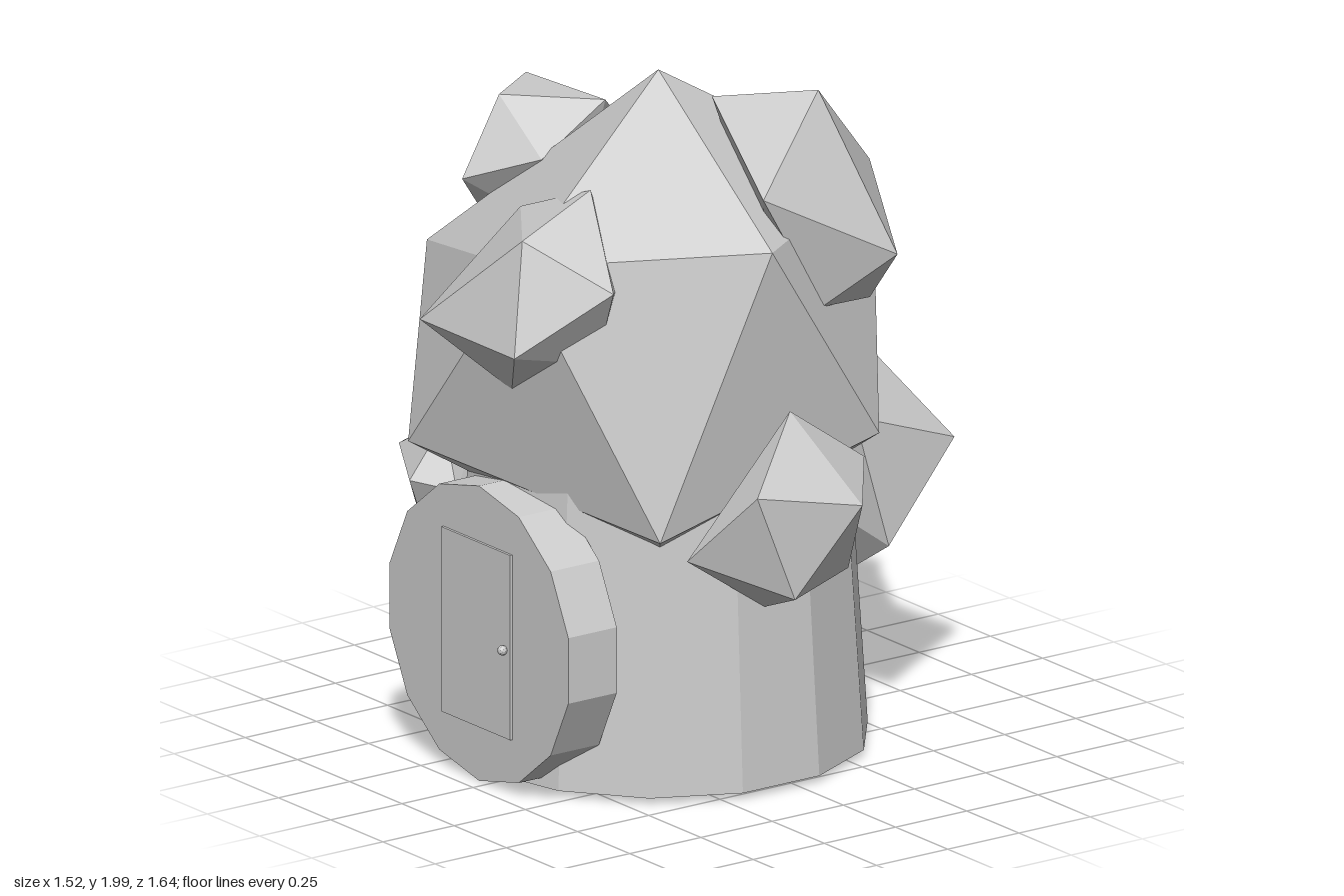
import * as THREE from 'three';
import { ConvexGeometry } from 'three/addons/geometries/ConvexGeometry.js';

const grey = new THREE.MeshStandardMaterial({ color: 0xcccccc, flatShading: true });

export function createModel() {
  const model = new THREE.Group();
  const add = (name, geometry, x = 0, y = 0, z = 0) => {
    const mesh = new THREE.Mesh(geometry, grey);
    mesh.name = name;
    mesh.position.set(x, y, z);
    model.add(mesh);
    return mesh;
  };
  // Irregular faceted clump of leaves spanned by a few corner points
  const clump = (name, corners) =>
    add(name, new ConvexGeometry(corners.map((c) => new THREE.Vector3(...c))));

  // Tapered fourteen-sided trunk
  add('trunk', new THREE.CylinderGeometry(0.527, 0.603, 1.18, 14), -0.047, 0.61, 0.065);

  // Round door frame with a thin door panel and knob
  const frame = add('doorFrame', new THREE.CylinderGeometry(0.439, 0.439, 0.17, 14), -0.04, 0.44, 0.615);
  frame.rotation.x = Math.PI / 2;
  add('doorPanel', new THREE.BoxGeometry(0.33, 0.55, 0.1), -0.045, 0.44, 0.658);
  add('doorKnob', new THREE.IcosahedronGeometry(0.015, 1), 0.095, 0.428, 0.717);

  // Main crown: top tip, upper ring, lower ring, bottom tip inside the trunk
  clump('crown', [
    [-0.047, 1.995, 0.065],
    [0.57, 1.62, 0.117], [0.065, 1.593, -0.605], [-0.45, 1.66, -0.345],
    [-0.63, 1.41, 0.45], [0.18, 1.59, 0.725],
    [-0.757, 0.937, 0.15], [-0.345, 0.937, 0.725], [0.487, 0.797, 0.45],
    [0.49, 0.98, -0.317], [-0.315, 1.04, -0.59],
    [-0.047, 0.52, 0.065],
  ]);

  clump('frontLeaves', [
    [0.14, 1.757, 0.44], [0.4, 1.535, 0.55], [0.252, 1.35, 0.79], [0.063, 1.185, 0.66],
    [-0.16, 1.367, 0.82], [-0.1, 1.66, 0.51], [0.188, 1.67, 0.715],
    [0.25, 1.28, 0.5], [-0.08, 1.3, 0.5], [0.13, 1.45, 0.33],
  ]);

  clump('topLeftLeaves', [
    [0.344, 1.984, -0.21], [0.16, 1.67, -0.525], [0.55, 1.524, -0.337], [0.49, 1.75, 0.09],
    [0.08, 1.93, -0.03], [0, 1.82, -0.31], [0.4, 1.355, -0.35], [0.47, 1.386, -0.13],
    [0.1, 1.45, -0.2],
  ]);

  clump('topRightLeaves', [
    [-0.503, 1.845, 0.29], [-0.335, 1.825, 0.04], [-0.66, 1.83, 0.08], [-0.503, 1.68, -0.144],
    [-0.757, 1.625, 0.153], [-0.664, 1.45, -0.09], [-0.497, 1.62, 0.424],
    [-0.307, 1.7, 0.284], [-0.635, 1.376, 0.2], [-0.4, 1.4, 0.1],
  ]);

  clump('lowerLeftLeaves', [
    [0.545, 1.127, 0.037], [0.76, 0.884, -0.06], [0.7, 0.95, 0.265], [0.714, 0.63, 0.143],
    [0.5, 0.73, 0.365], [0.55, 0.624, -0.164], [0.51, 0.548, 0.1], [0.53, 0.937, -0.235],
    [0.35, 0.8, 0.05],
  ]);

  clump('lowerBackLeaves', [
    [-0.127, 1.09, -0.645], [0.16, 0.785, -0.823], [-0.4, 0.843, -0.755], [-0.54, 0.916, -0.485],
    [-0.1, 0.466, -0.783], [-0.53, 0.55, -0.49], [0.3, 0.56, -0.49], [0.25, 0.947, -0.407],
    [-0.05, 0.35, -0.52], [-0.1, 0.75, -0.3],
  ]);

  clump('lowerRightLeaves', [
    [-0.704, 0.794, 0.494], [-0.48, 0.915, 0.5], [-0.434, 0.783, 0.655], [-0.72, 0.67, 0.305],
    [-0.58, 0.418, 0.45], [-0.53, 0.423, 0.47], [-0.31, 0.77, 0.58], [-0.65, 0.9, 0.22],
    [-0.47, 0.52, 0.54], [-0.45, 0.65, 0.25],
  ]);

  return model;
}
